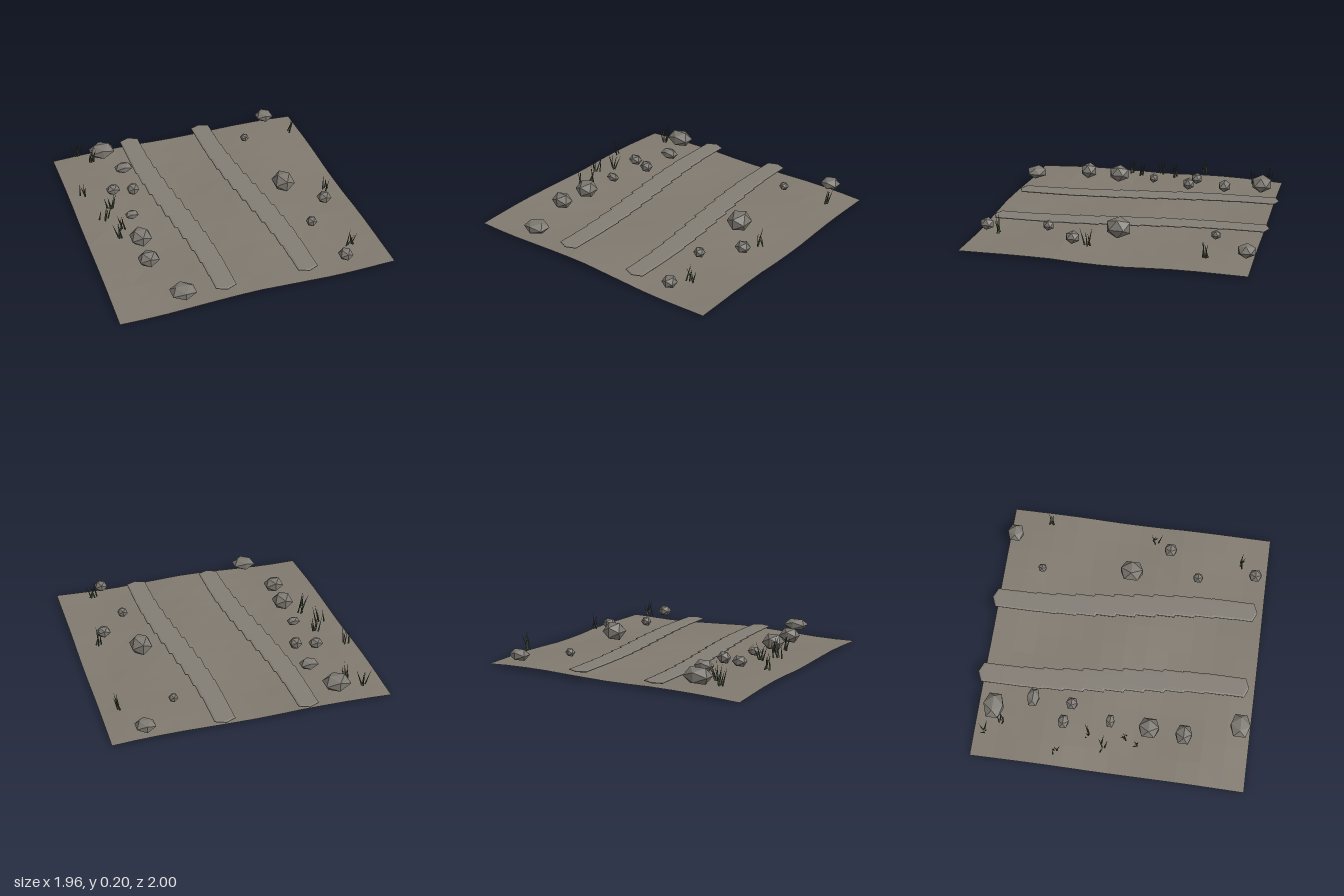
import * as THREE from 'three';

function seeded(seed) {
  let s = seed;
  return () => (s = (s * 16807) % 2147483647) / 2147483647;
}

const mat = (name, color, extra = {}) => {
  const m = new THREE.MeshStandardMaterial({ color, flatShading: true, ...extra });
  m.name = name;
  return m;
};

export function createModel() {
  const model = new THREE.Group();
  model.name = 'dirtTrack';
  const soil = mat('soil', 0x80796f, { side: THREE.DoubleSide });
  const packedSoil = mat('packedSoil', 0x827c74);
  const stone = mat('stone', 0x7b7770);
  const grass = mat('grass', 0x4a5540);
  const rand = seeded(4217);

  const add = (parent, name, geometry, material) => {
    const mesh = new THREE.Mesh(geometry, material);
    mesh.name = name;
    parent.add(mesh);
    return mesh;
  };

  // Gently uneven ground sheet
  const groundGeo = new THREE.PlaneGeometry(1.96, 1.96, 12, 12).rotateX(-Math.PI / 2).translate(0, 0, 0.02);
  const pos = groundGeo.attributes.position;
  for (let i = 0; i < pos.count; i++) {
    const x = pos.getX(i), z = pos.getZ(i);
    const y = 0.02 + 0.008 * Math.sin(x * 5 + z * 2) + 0.006 * Math.cos(z * 6 - x * 3) + 0.003 * (rand() - 0.5);
    pos.setY(i, Math.max(0, y));
  }
  add(model, 'ground', groundGeo, soil);

  // Wheel ruts: overlapping flat slabs with pointed ends on an S-curve
  const hx = 0.06, side = 0.148, tip = 0.173;
  const slab = new THREE.Shape([
    [-hx, -side], [0, -tip], [hx, -side], [hx, side], [0, tip], [-hx, side],
  ].map(([x, y]) => new THREE.Vector2(x, y)));
  const slabGeo = new THREE.ExtrudeGeometry(slab, {
    depth: 0.004, bevelEnabled: true, bevelThickness: 0.005, bevelSize: 0.012, bevelSegments: 1,
  }).rotateX(-Math.PI / 2).translate(0, 0.063, 0);
  for (const [name, cx] of [['rightRut', -0.2975], ['leftRut', 0.29]]) {
    const rut = new THREE.Group();
    rut.name = name;
    model.add(rut);
    for (let i = 0; i < 12; i++) {
      const z = -0.815 + i * 0.1441;
      const piece = add(rut, 'rutSlab', slabGeo, packedSoil);
      piece.position.set(cx + 0.071 * Math.sin((z / 0.8) * Math.PI / 2), (i % 2) * 0.0006, z);
    }
  }

  // Rocks: x, z, centre height, half width, half height, half depth
  const rocks = [
    [-0.62, -0.84, 0.110, 0.090, 0.055, 0.070], [-0.52, -0.57, 0.105, 0.063, 0.037, 0.043],
    [-0.665, -0.33, 0.10, 0.047, 0.036, 0.038], [-0.525, -0.29, 0.10, 0.042, 0.040, 0.040],
    [-0.615, 0, 0.095, 0.045, 0.030, 0.030], [-0.63, 0.28, 0.108, 0.070, 0.056, 0.072],
    [-0.645, 0.53, 0.110, 0.068, 0.052, 0.058], [-0.525, 0.92, 0.108, 0.082, 0.040, 0.070],
    [0.745, -0.915, 0.10, 0.064, 0.040, 0.058], [0.49, -0.67, 0.095, 0.030, 0.028, 0.030],
    [0.55, -0.005, 0.114, 0.073, 0.064, 0.082], [0.765, 0.26, 0.10, 0.047, 0.038, 0.045],
    [0.57, 0.49, 0.095, 0.035, 0.033, 0.035], [0.645, 0.91, 0.10, 0.045, 0.038, 0.045],
  ];
  const rockGeo = new THREE.IcosahedronGeometry(1 / 0.8507, 0);
  for (const [x, z, y, w, h, d] of rocks) {
    const rock = add(model, 'rock', rockGeo, stone);
    rock.position.set(x, y, z);
    rock.scale.set(w, h, d);
  }

  // Grass tufts: x, z, spread in x, spread in z, blade count
  const tufts = [
    [-0.81, -0.89, 0.03, 0.03, 5], [-0.72, -0.77, 0.04, 0.03, 5], [-0.89, -0.37, 0.035, 0.04, 4],
    [-0.74, -0.145, 0.035, 0.025, 5], [-0.81, -0.03, 0.05, 0.035, 4], [-0.72, 0.13, 0.03, 0.03, 4],
    [-0.76, 0.21, 0.025, 0.025, 4], [0.875, -0.66, 0.025, 0.04, 4], [0.82, 0.14, 0.05, 0.03, 4],
    [0.73, 0.80, 0.045, 0.015, 5],
  ];
  const bladeGeo = new THREE.ConeGeometry(0.0065, 1, 4).translate(0, 0.5, 0);
  const up = new THREE.Vector3(0, 1, 0);
  for (const [x, z, sx, sz, count] of tufts) {
    const tuft = new THREE.Group();
    tuft.name = 'grassTuft';
    tuft.position.set(x, 0.075, z);
    model.add(tuft);
    for (let i = 0; i < count; i++) {
      const blade = add(tuft, 'grassBlade', bladeGeo, grass);
      const dir = new THREE.Vector3((rand() - 0.5) * 0.08, 0.09 + rand() * 0.045, (rand() - 0.5) * 0.07);
      blade.position.set((rand() * 2 - 1) * sx * 0.7, 0, (rand() * 2 - 1) * sz * 0.7);
      blade.scale.y = dir.length();
      blade.quaternion.setFromUnitVectors(up, dir.normalize());
    }
  }
  return model;
}
